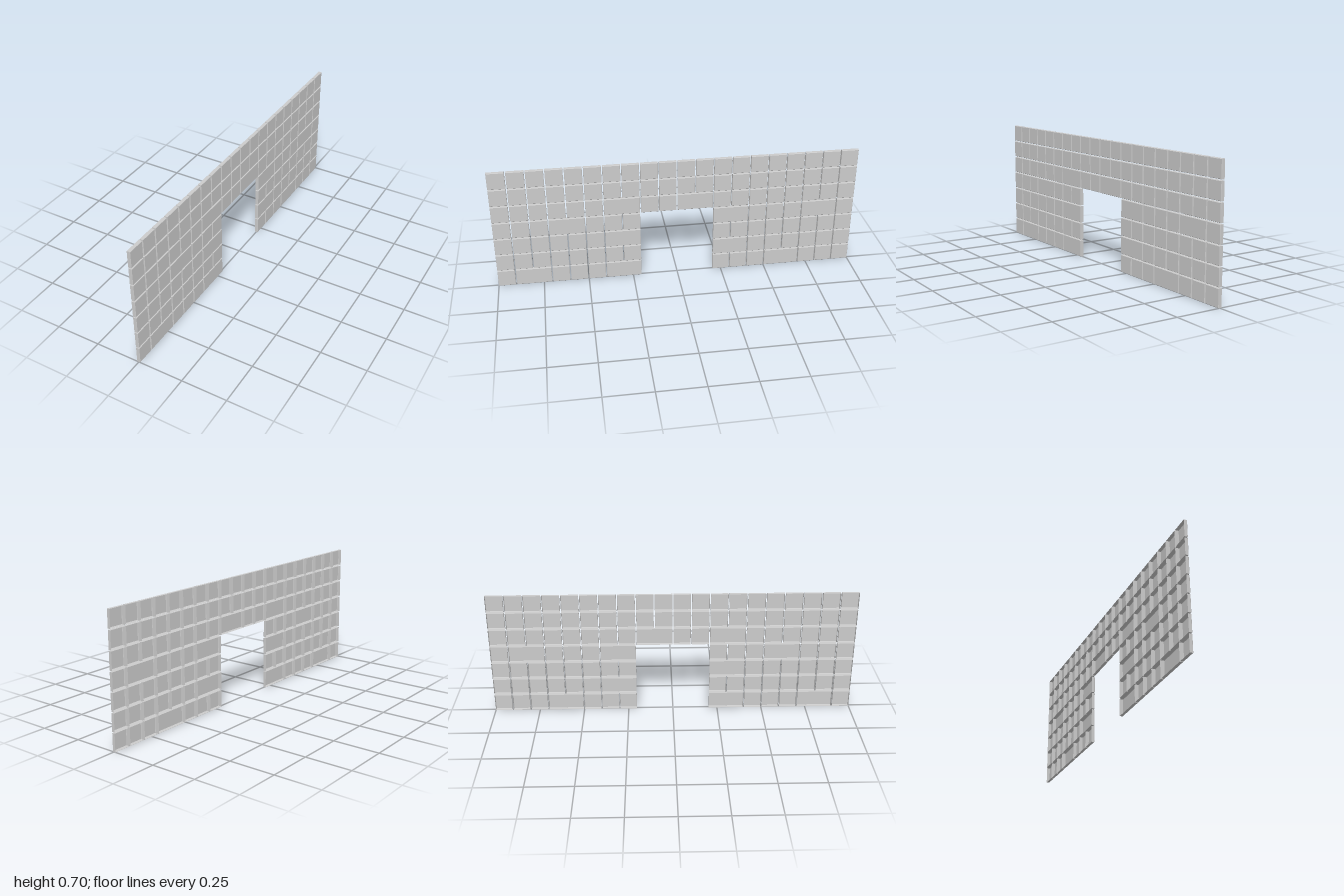
import * as THREE from 'three';

const GAP = 0.006;
const PITCH = (2 + GAP) / 20;
const HALF = 0.009;
const BEVEL = 0.002;

// Hollow block shell: bevelled face on +x, open on -x
function blockGeometry(length, height) {
  const rings = [[-HALF, 0], [HALF - BEVEL, 0], [HALF, BEVEL]].map(([x, inset]) => {
    const h = height / 2 - inset, l = length / 2 - inset;
    return [[x, -h, l], [x, -h, -l], [x, h, -l], [x, h, l]];
  });
  const pos = [];
  const quad = (a, b, c, d) => pos.push(...a, ...b, ...c, ...a, ...c, ...d);
  for (let r = 0; r < 2; r++) {
    for (let i = 0; i < 4; i++) {
      const j = (i + 1) % 4;
      quad(rings[r][i], rings[r][j], rings[r + 1][j], rings[r + 1][i]);
    }
  }
  quad(...rings[2]);
  const g = new THREE.BufferGeometry();
  g.setAttribute('position', new THREE.Float32BufferAttribute(pos, 3));
  g.computeVertexNormals();
  return g;
}

export function createModel() {
  const wall = new THREE.Group();
  wall.name = 'blockWall';
  const material = new THREE.MeshStandardMaterial({
    color: 0xcccccc, flatShading: true, side: THREE.DoubleSide,
  });
  const height = PITCH - GAP;
  const geometries = [1, 2].map((n) => blockGeometry(n * PITCH - GAP, height));

  // Columns (counted from +z) where a double-length block starts, per course
  const doubles = [[1, 6, 15], [12], [6], [3, 12, 17], [6, 10], [], []];

  doubles.forEach((starts, row) => {
    const course = new THREE.Group();
    course.name = `course${row + 1}`;
    for (let col = 0; col < 20;) {
      // Doorway opening
      if (row < 4 && col >= 8 && col < 12) { col++; continue; }
      const n = starts.includes(col) ? 2 : 1;
      const block = new THREE.Mesh(geometries[n - 1], material);
      block.name = n === 2 ? 'longBlock' : 'squareBlock';
      block.position.set(0, row * PITCH + height / 2, 1 - col * PITCH - (n * PITCH - GAP) / 2);
      course.add(block);
      col += n;
    }
    wall.add(course);
  });
  return wall;
}
